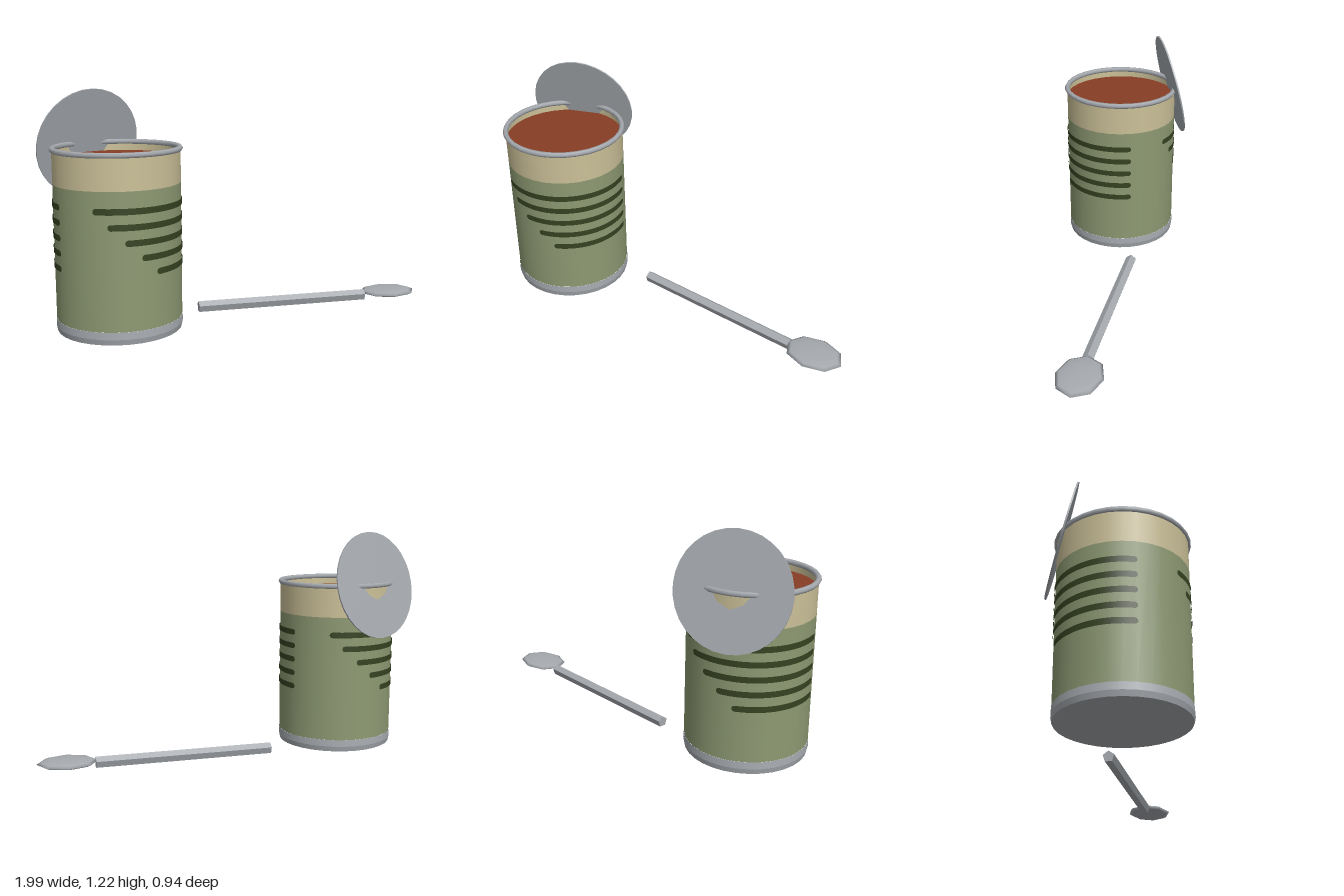
import * as THREE from 'three';

const mat = (name, color, extra = {}) => {
  const m = new THREE.MeshStandardMaterial({ color, ...extra });
  m.name = name;
  return m;
};
const add = (parent, name, geometry, material, x = 0, y = 0, z = 0) => {
  const mesh = new THREE.Mesh(geometry, material);
  mesh.name = name;
  mesh.position.set(x, y, z);
  parent.add(mesh);
  return mesh;
};

// Thin round-ended band wrapped round the can, angles measured from +z towards +x
function stripeGeometry(start, end, radius, half) {
  const cap = half / radius, steps = 48, angles = [];
  for (let i = 0; i <= 4; i++) angles.push(start + cap * (1 - Math.cos((i / 4) * Math.PI / 2)));
  for (let i = 1; i < steps; i++) angles.push(start + cap + (end - start - 2 * cap) * (i / steps));
  for (let i = 4; i >= 0; i--) angles.push(end - cap * (1 - Math.cos((i / 4) * Math.PI / 2)));
  const pos = [], nor = [], index = [];
  angles.forEach((a, i) => {
    const d = Math.min(1, Math.min(a - start, end - a) / cap);
    const h = half * Math.sqrt(Math.max(0, 1 - (1 - d) * (1 - d)));
    for (const y of [-h, h]) {
      pos.push(Math.sin(a) * radius, y, Math.cos(a) * radius);
      nor.push(Math.sin(a), 0, Math.cos(a));
    }
    if (i) {
      const k = 2 * i - 2;
      index.push(k, k + 2, k + 1, k + 1, k + 2, k + 3);
    }
  });
  const g = new THREE.BufferGeometry();
  g.setAttribute('position', new THREE.Float32BufferAttribute(pos, 3));
  g.setAttribute('normal', new THREE.Float32BufferAttribute(nor, 3));
  g.setIndex(index);
  return g;
}

export function createModel() {
  const model = new THREE.Group();
  model.name = 'openCanAndSpoon';
  const metal = mat('metal', 0xa6aaaf);
  const handleMetal = mat('handleMetal', 0xa6aaaf, { flatShading: true });
  const green = mat('labelGreen', 0x8e9a73);
  const beige = mat('labelBeige', 0xcbc098, { side: THREE.DoubleSide });
  const dark = mat('stripeGreen', 0x364221, { side: THREE.DoubleSide });
  const soupBrown = mat('soupBrown', 0x873d23);

  // Can
  const can = new THREE.Group();
  can.name = 'can';
  can.position.set(-0.667, 0, -0.107);
  model.add(can);
  const band = (name, y0, y1, r0, r1, material) =>
    add(can, name, new THREE.CylinderGeometry(r1, r0, y1 - y0, 32, 1, true), material, 0, (y0 + y1) / 2);
  band('baseBevel', 0.012, 0.04, 0.317, 0.323, metal);
  band('baseBand', 0.04, 0.077, 0.323, 0.321, metal);
  band('label', 0.077, 0.762, 0.32, 0.32, green);
  band('labelTop', 0.762, 0.93, 0.32, 0.32, beige);
  add(can, 'bottom', new THREE.CircleGeometry(0.317, 32).rotateX(Math.PI / 2), metal, 0, 0.012);
  add(can, 'rim', new THREE.TorusGeometry(0.318, 0.0145, 6, 32).rotateX(Math.PI / 2), metal, 0, 0.932);
  add(can, 'soup', new THREE.CircleGeometry(0.319, 32).rotateX(-Math.PI / 2), soupBrown, 0, 0.885);

  // Five stripes on each half of the label, each starting further round
  const starts = [-51, -38.5, -24, -9.5, 5];
  starts.forEach((deg, i) => {
    for (const turn of [0, 180]) {
      const g = stripeGeometry(THREE.MathUtils.degToRad(deg + turn),
        THREE.MathUtils.degToRad(91 + turn), 0.3235, 0.0155);
      add(can, 'stripe', g, dark, 0, 0.666 - i * 0.0765);
    }
  });

  // Lid, folded back over the rim
  const lid = add(model, 'lid', new THREE.CylinderGeometry(0.293, 0.293, 0.008, 32), metal, -0.667, 0.932, -0.405);
  lid.rotation.x = Math.PI / 2 + 0.222;

  // Spoon lying on the ground
  const spoon = new THREE.Group();
  spoon.name = 'spoon';
  spoon.position.set(-0.187, 0, -0.088);
  spoon.rotation.y = THREE.MathUtils.degToRad(-22.8);
  model.add(spoon);
  const length = 0.97;
  add(spoon, 'spoonHandle',
    new THREE.CylinderGeometry(0.031, 0.031, length, 5).rotateX(-Math.PI / 2).rotateY(Math.PI / 2),
    handleMetal, length / 2, 0.0251, 0);
  add(spoon, 'spoonBowl', new THREE.SphereGeometry(1, 8, 6).scale(0.16, 0.02, 0.122), metal, 1.117, 0.038, 0);
  return model;
}
